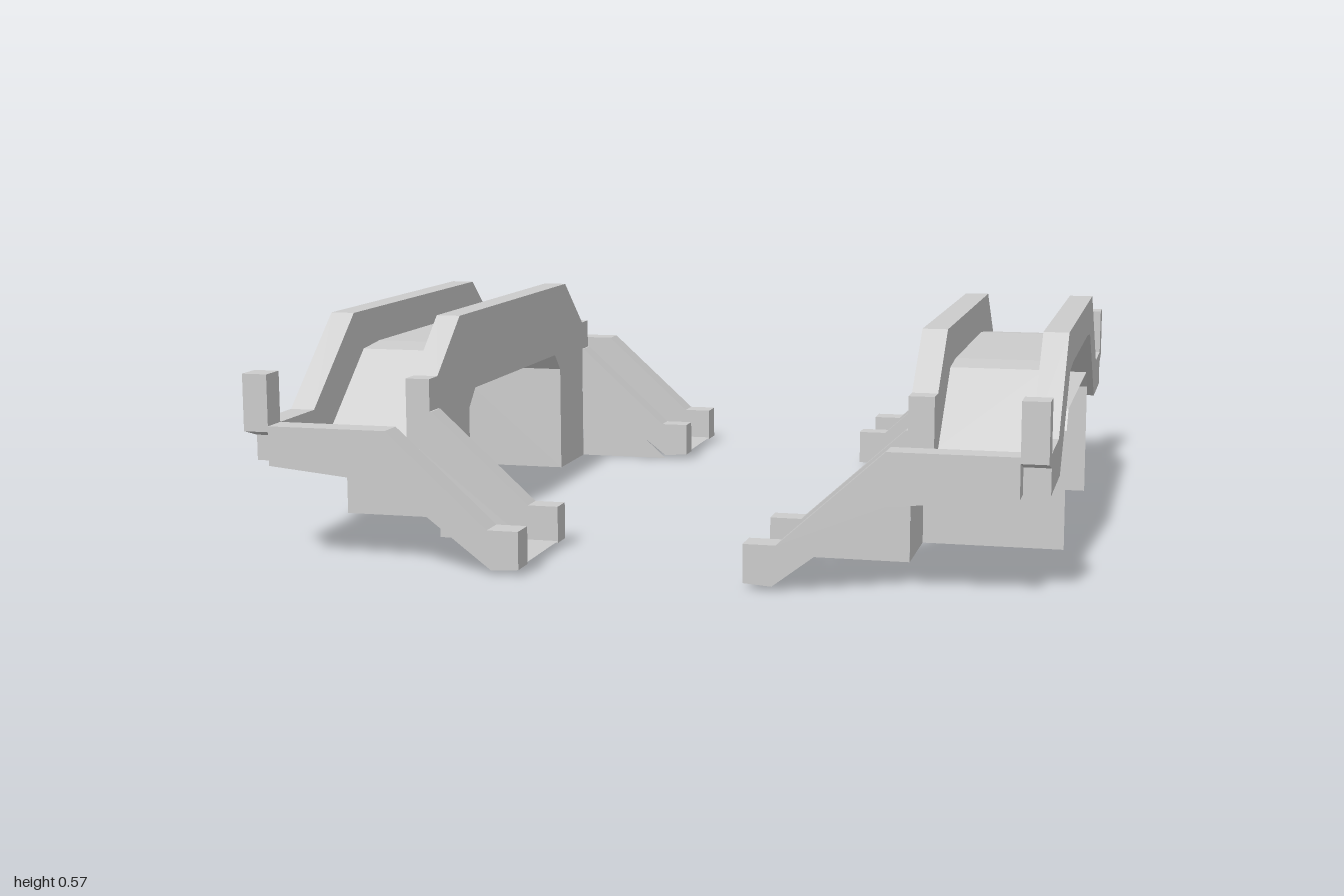
import * as THREE from 'three';

const solid = new THREE.MeshStandardMaterial({ color: 0xcccccc, flatShading: true });
const thin = new THREE.MeshStandardMaterial({ color: 0xcccccc, flatShading: true, side: THREE.DoubleSide });

const shapeOf = (pts) => new THREE.Shape(pts.map(([a, b]) => new THREE.Vector2(a, b)));

function add(group, name, geometry, material) {
  const mesh = new THREE.Mesh(geometry, material);
  mesh.name = name;
  group.add(mesh);
}

// Solid with a [z, y] profile, running from x0 to x1
function solidAlongX(pts, x0, x1) {
  const g = new THREE.ExtrudeGeometry(shapeOf(pts), { depth: x1 - x0, bevelEnabled: false });
  return g.rotateY(-Math.PI / 2).translate(x1, 0, 0);
}

// Solid with an [x, y] profile, running from z0 to z1
function solidAlongZ(pts, z0, z1) {
  const g = new THREE.ExtrudeGeometry(shapeOf(pts), { depth: z1 - z0, bevelEnabled: false });
  return g.translate(0, 0, z0);
}

// Open sheet swept between a and b; at(p, t) places a path point in space
function sheet(path, a, b, at) {
  const pos = [];
  for (let i = 0; i < path.length - 1; i++) {
    const [p, q] = [path[i], path[i + 1]];
    pos.push(...at(p, a), ...at(q, a), ...at(q, b), ...at(p, a), ...at(q, b), ...at(p, b));
  }
  const g = new THREE.BufferGeometry();
  g.setAttribute('position', new THREE.Float32BufferAttribute(pos, 3));
  g.computeVertexNormals();
  return g;
}
const acrossX = ([z, y], x) => [x, y, z];
const acrossZ = ([x, y], z) => [x, y, z];

// Half path from one end to the middle, continued by its mirror image
const mirrored = (half) => [...half, ...half.map(([z, y]) => [-z, y]).reverse()];

const OUT = 0.995, OUT_IN = 0.93, IN = 0.625, IN_OUT = 0.69;

// Ramp, its two side rails and the wall below, at the +z end
function createRamp() {
  const ramp = new THREE.Group();
  add(ramp, 'rampDeck', sheet([[OUT_IN, 0.245], [0.655, 0.245], [0.37, 0.02], [0.28, 0.02]],
    0.93, 0.69, acrossZ), thin);
  const foot = [[0.62, 0.345], [0.36, 0.11], [0.28, 0.11], [0.28, 0.015], [0.35, 0.01], [0.62, 0.215]];
  add(ramp, 'endRail', solidAlongZ([[OUT_IN, 0.345], ...foot, [OUT_IN, 0.245]], 0.93, 1), solid);
  add(ramp, 'innerRampRail', solidAlongZ([[IN_OUT, 0.345], ...foot, [IN_OUT, 0.225]], 0.63, 0.69), solid);
  const wall = new THREE.ShapeGeometry(shapeOf([[IN, 0], [IN, 0.25], [0.35, 0]]));
  add(ramp, 'rampWall', wall.translate(0, 0, 0.631), thin);
  return ramp;
}

// One raised walkway on the +x side
function createWalkway() {
  const walkway = new THREE.Group();

  // Deck between the rails
  const deck = [[0.69, 0.245], [0.67, 0.245], [0.4, 0.465], [0.29, 0.475]];
  add(walkway, 'deck', sheet(mirrored(deck), IN, OUT_IN, acrossX), thin);

  // Outer rail with raised corner posts
  const outerTop = [[1, 0.33], [1, 0.475], [0.93, 0.475], [0.93, 0.345], [0.73, 0.345], [0.46, 0.57]];
  const outerLow = [[0.93, 0.31], [0.93, 0.245], ...deck.slice(1)];
  add(walkway, 'outerRail',
    solidAlongX([...mirrored(outerTop), ...mirrored(outerLow).reverse()], OUT_IN, OUT), solid);

  // Inner rail ending in newel posts
  const innerTop = [[0.69, 0.43], [0.63, 0.43], [0.46, 0.57]];
  add(walkway, 'innerRail',
    solidAlongX([...mirrored(innerTop), ...mirrored(deck).reverse()], IN, IN_OUT), solid);

  // Arch wall on the inner side, and the leg walls and soffit behind it
  const arch = [[0.4, 0], [0.4, 0.31], [0.35, 0.36]];
  const wallTop = [[0.63, 0], [0.63, 0.28], [0.4, 0.465], [0.29, 0.475]];
  const wall = new THREE.ShapeGeometry(shapeOf([...mirrored(wallTop), ...mirrored(arch).reverse()]));
  add(walkway, 'archWall', wall.rotateY(-Math.PI / 2).translate(IN, 0, 0), thin);
  add(walkway, 'archSoffit', sheet(mirrored(arch), OUT - 0.005, IN, acrossX), thin);

  for (const side of [1, -1]) {
    const ramp = createRamp();
    ramp.name = side > 0 ? 'frontRamp' : 'backRamp';
    ramp.scale.z = side;
    walkway.add(ramp);
  }
  return walkway;
}

export function createModel() {
  const model = new THREE.Group();
  model.name = 'walkways';
  for (const side of [1, -1]) {
    const walkway = createWalkway();
    walkway.name = side > 0 ? 'leftWalkway' : 'rightWalkway';
    walkway.scale.x = side;
    model.add(walkway);
  }
  return model;
}
